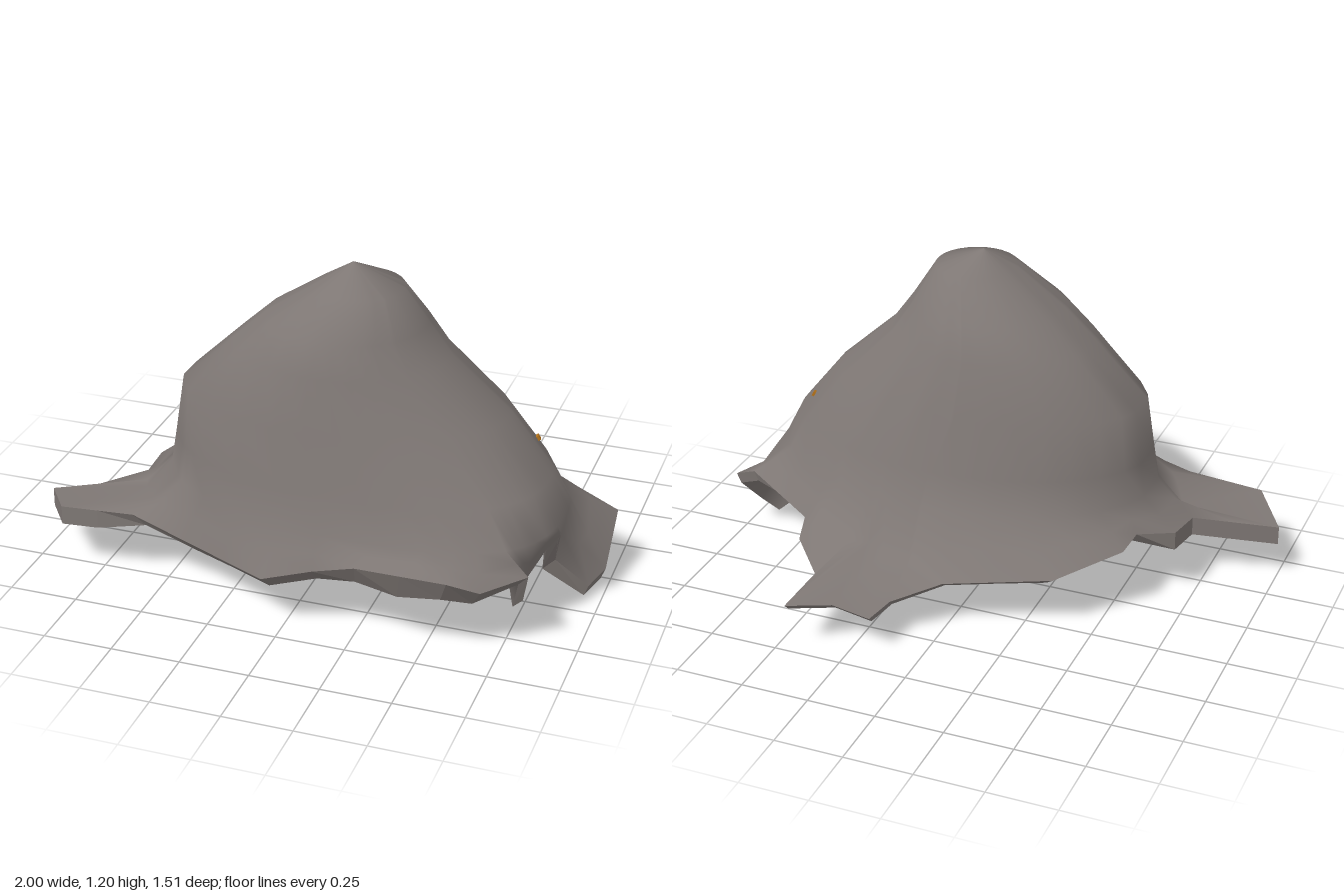
import * as THREE from 'three';

const { clamp, lerp, smoothstep } = THREE.MathUtils;

// Corners of the ragged lower edge, anticlockwise seen from above: x, z, top height
const CORNERS = [
  [-0.70, 0.28, 0.24], [-1.00, 0.38, 0.21], [-0.88, 0.56, 0.25], [-0.60, 0.565, 0.27],
  [-0.40, 0.58, 0.21], [-0.05, 0.75, 0.22], [0.12, 0.71, 0.26], [0.28, 0.74, 0.32],
  [0.60, 0.74, 0.32], [0.70, 0.68, 0.27], [0.84, 0.59, 0.31], [0.81, 0.53, 0.18],
  [0.79, 0.46, 0.22], [0.78, 0.39, 0.17], [0.84, 0.34, 0.28], [0.87, 0.27, 0.30],
  [0.84, 0.20, 0.16], [0.95, 0.14, 0.04], [1.00, 0.10, 0.10], [1.00, -0.06, 0.25],
  [0.92, -0.07, 0.28], [0.62, -0.25, 0.24], [0.60, -0.34, 0.20], [0.47, -0.48, 0.16],
  [0.45, -0.76, 0.19], [0.32, -0.65, 0.16], [0.17, -0.67, 0.15], [0.15, -0.54, 0.15],
  [0.00, -0.42, 0.19], [-0.37, -0.30, 0.22], [-0.56, -0.10, 0.27], [-0.57, 0.02, 0.28],
  [-0.69, 0.10, 0.27],
];

// Dome cross-sections: height, min x, max x, min z, max z
const LAYERS = [
  [0.38, -0.57, 0.88, -0.25, 0.67],
  [0.50, -0.55, 0.82, -0.20, 0.63],
  [0.70, -0.52, 0.66, -0.15, 0.58],
  [0.89, -0.32, 0.45, -0.08, 0.535],
  [1.00, -0.20, 0.37, -0.03, 0.49],
  [1.13, -0.01, 0.29, 0.10, 0.40],
  [1.20, 0.105, 0.105, 0.23, 0.23],
];

// Direction of an edge point around the dome
const angleOf = ([x, z]) => Math.atan2((z - 0.2) / 0.46, (x - 0.155) / 0.725);

// Long edges gain a midpoint so that the dome stays round
const RIM = CORNERS.flatMap((p, i) => {
  const q = CORNERS[(i + 1) % CORNERS.length];
  const long = Math.hypot(q[0] - p[0], q[1] - p[1]) > 0.24;
  return long ? [p, p.map((v, k) => (v + q[k]) / 2)] : [p];
});

// Drop and inward shift of the edge's underside
function edgeOffset([x, z]) {
  if (x < -0.65) return [0.07, 0];
  if (x > 0.9) return [0.04, 0.015];
  if (z < -0.5) return [0.02, 0.02];
  if (z < 0.1) return [0.035, 0.05];
  const lip = z > 0.55 ? 0.06 * Math.exp(-(((x - 0.45) / 0.22) ** 2)) : 0;
  return [0.045 + lip, 0.045];
}

// Point on a dome layer, pulled inward for the inside surface;
// the lower front left quarter is fuller than an ellipse
function layerPoint([y, x0, x1, z0, z1], angle, inset) {
  const c = Math.cos(angle);
  const s = Math.sin(angle);
  const e = c > 0 && s > 0 ? clamp(0.65 + (y - 0.38) * 1.25, 0.65, 1) : 1;
  const rx = Math.max((x1 - x0) / 2 - inset, 0);
  const rz = Math.max((z1 - z0) / 2 - inset, 0);
  return new THREE.Vector3(
    (x0 + x1) / 2 + rx * Math.sign(c) * Math.abs(c) ** e,
    y - inset * (y > 0.9 ? 0.8 : 0.25),
    (z0 + z1) / 2 + rz * Math.sign(s) * Math.abs(s) ** e);
}

function rimRow(below) {
  return RIM.map((r) => {
    const [drop, shift] = below ? edgeOffset(r) : [0, 0];
    const inward = new THREE.Vector2(0.155 - r[0], 0.2 - r[1]).setLength(shift);
    return new THREE.Vector3(r[0] + inward.x, r[2] - drop, r[1] + inward.y);
  });
}

// Rows from the edge up to the peak; long flaps curve outward near the dome
function shellRows(inside) {
  const inset = inside ? 0.052 : 0;
  const rows = LAYERS.map((l) => RIM.map((r) => layerPoint(l, angleOf(r), inset)));
  const rim = rimRow(inside);
  const flare = rim.map((p, i) => {
    const d = rows[0][i];
    const reach = Math.hypot(p.x - d.x, p.z - d.z);
    const q = d.clone().lerp(p, Math.min(0.5, 0.1 / reach));
    q.y = lerp(d.y, p.y, lerp(0.5, 0.72, smoothstep(reach, 0.1, 0.35)));
    return q;
  });
  return [rim, flare, ...rows];
}

// Closed band surface through rows of points
function loft(rows, flip) {
  const n = rows[0].length;
  const index = [];
  for (let r = 0; r < rows.length - 1; r++) {
    for (let c = 0; c < n; c++) {
      const a = r * n + c;
      const b = r * n + (c + 1) % n;
      if (flip) index.push(a, a + n, b, b, a + n, b + n);
      else index.push(a, b, a + n, b, b + n, a + n);
    }
  }
  const g = new THREE.BufferGeometry().setFromPoints(rows.flat());
  g.setIndex(index);
  g.computeVertexNormals();
  return g;
}

export function createModel() {
  const group = new THREE.Group();
  const stone = new THREE.MeshStandardMaterial({ color: 0x7e7774 });
  stone.name = 'warm grey';
  const amber = new THREE.MeshStandardMaterial({ color: 0xb5731a });
  amber.name = 'amber';

  const add = (name, geometry, material) => {
    const m = new THREE.Mesh(geometry, material);
    m.name = name;
    group.add(m);
    return m;
  };

  // Hollow draped shell
  add('outerShell', loft(shellRows(false), false), stone);
  add('innerShell', loft(shellRows(true), true), stone);

  // Faceted band closing the ragged edge
  const edge = loft([rimRow(true), rimRow(false)], false).toNonIndexed();
  edge.computeVertexNormals();
  add('raggedEdge', edge, stone);

  // Tiny specks on the front and the left flank
  const specks = [[0.42, 0.56, 0.575, 0.25, 0.2, 0.95], [0.735, 0.57, 0.09, 0.85, 0.5, -0.2]];
  for (const [x, y, z, nx, ny, nz] of specks) {
    const s = add('speck', new THREE.BoxGeometry(0.018, 0.018, 0.009), amber);
    s.position.set(x, y, z);
    s.lookAt(x + nx, y + ny, z + nz);
  }
  return group;
}
